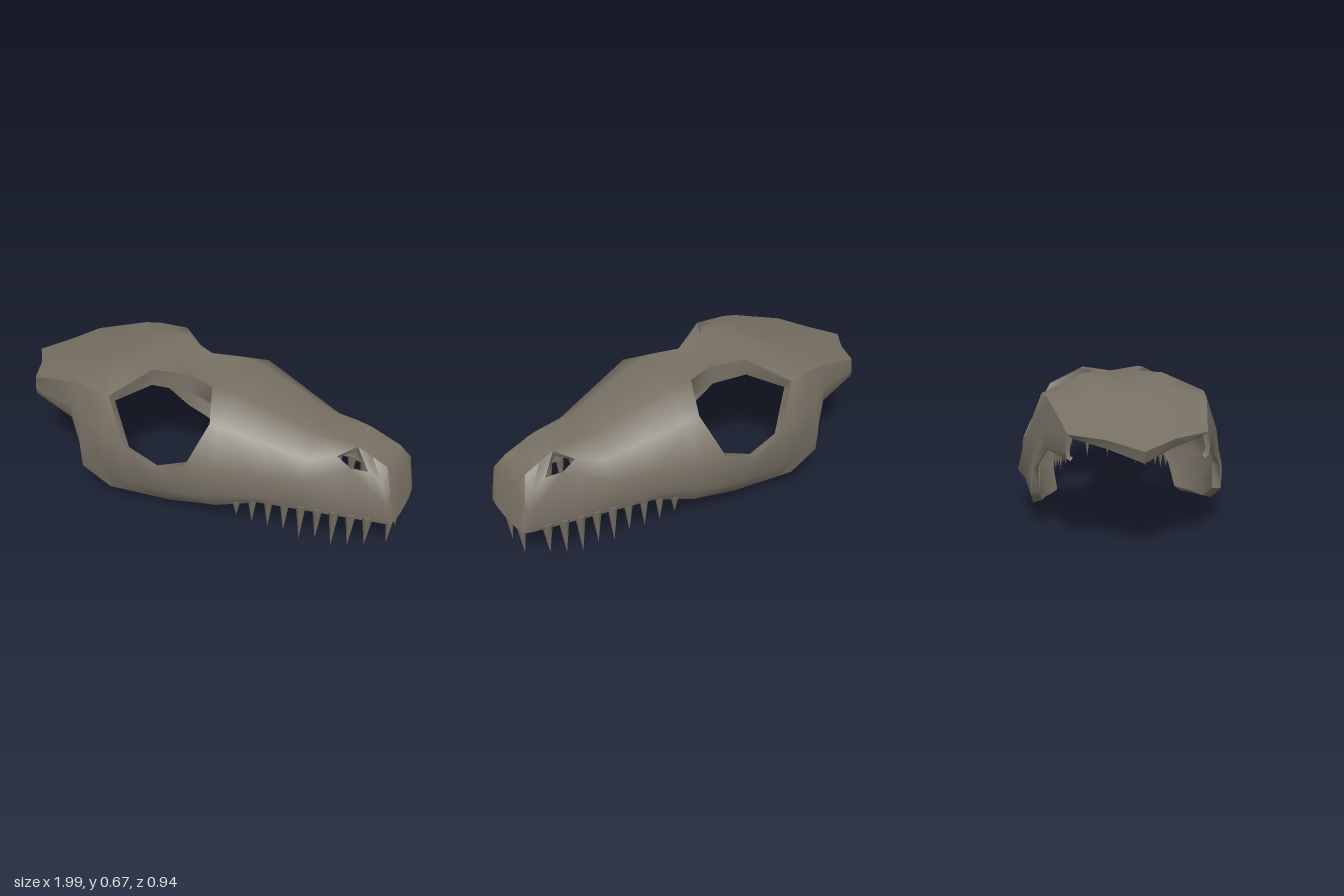
import * as THREE from 'three';
import { toCreasedNormals } from 'three/addons/utils/BufferGeometryUtils.js';

const bone = new THREE.MeshStandardMaterial({ color: 0x766f63, side: THREE.DoubleSide });

// Rails [x, y, z] from the back of the skull to the snout
const ridge = [[-.89, .48, .135], [-.33, .665, .17], [-.21, .65, .17], [-.05, .638, .11], [.09, .637, .15],
  [.2, .63, .14], [.58, .515, .1], [.75, .51, .085], [.91, .445, .09], [.95, .385, .09]];
const brow = [[-.82, .49, .275], [-.52, .58, .335], [-.33, .58, .36], [.16, .555, .305],
  [.58, .44, .2], [.7, .465, .145], [.84, .425, .135], [.95, .36, .145]];
const cheek = [[-.82, .43, .285], [-.56, .46, .355], [-.33, .4, .425], [-.05, .32, .445],
  [.09, .37, .41], [.58, .35, .25], [.77, .435, .162], [.95, .3, .168]];
const jowl = [[-.82, .395, .28], [-.56, .385, .355], [-.485, .3, .41], [-.475, .25, .42], [-.2, .21, .473],
  [.09, .22, .435], [.58, .26, .26], [.95, .24, .17]];
const jawRim = [[-.82, .385, .265], [-.56, .375, .345], [-.485, .275, .405], [-.475, .165, .415], [-.33, .085, .405],
  [-.05, .045, .315], [.25, .135, .325], [.4, .19, .29], [.95, .195, .162]];
// The midline lies in a shallow groove between the two ridges
const crest = ridge.map(([x, y], i) => i ? [x, y - .022, 0] : [-1, .455, 0]);
const rails = [crest, ridge, brow, cheek, jowl, jawRim];

const stations = [-.56, -.485, -.475, -.33, -.21, -.05, .09, .16, .2, .4, .58, .7, .77, .84, .91, .95];

function sample(rail, x) {
  const k = rail.findIndex(p => p[0] >= x);
  const a = rail[k - 1], b = rail[k], t = (x - a[0]) / (b[0] - a[0]);
  return a.map((v, c) => v + (b[c] - v) * t);
}

// Eye sockets and nostrils: column range and row range; corners are cut diagonally
const openings = [];
for (const [from, to] of [[-.33, .16], [.7, .84]]) {
  const s0 = stations.indexOf(from) + 1, s1 = stations.indexOf(to) + 1;
  openings.push({ s0, s1, j0: 1, j1: 3 }, { s0, s1, j0: -3, j1: -1 });
}

function shellGeometry() {
  const R = rails.length - 1, W = 2 * R + 1, last = stations.length + 1;
  const outer = [], tris = [];
  for (let i = 0; i <= last; i++) for (let j = -R; j <= R; j++) {
    const rail = rails[Math.abs(j)], turn = Math.abs(j) / R * Math.PI / 2;
    // The snout closes on a blunt front lip
    const lip = [.97 + .022 * Math.cos(turn), .2, .157 * Math.sin(turn) ** .8];
    const p = i === 0 ? rail[0] : i === last ? lip : sample(rail, stations[i - 1]);
    outer.push(p[0], p[1], p[2] * Math.sign(j));
  }

  // Outer skin, leaving out the openings
  const id = (i, j) => i * W + j + R;
  for (let i = 0; i < last; i++) for (let j = -R; j < R; j++) {
    const q = [id(i, j), id(i, j + 1), id(i + 1, j + 1), id(i + 1, j)];
    const h = openings.find(o => i >= o.s0 && i < o.s1 && j >= o.j0 && j < o.j1);
    if (h) {
      const left = i === h.s0, right = i === h.s1 - 1, top = j === h.j0;
      if (!left && !right) continue;
      const k = left ? (top ? 0 : 1) : (top ? 3 : 2);
      tris.push([q[(k + 3) % 4], q[k], q[(k + 1) % 4]]);
    } else if (j >= 0) tris.push([q[0], q[1], q[2]], [q[0], q[2], q[3]]);
    else tris.push([q[1], q[2], q[3]], [q[1], q[3], q[0]]);
  }

  // Inner skin, pushed in along the normals, thickest under the roof
  const skin = new THREE.BufferGeometry();
  skin.setAttribute('position', new THREE.Float32BufferAttribute(outer, 3));
  skin.setIndex(tris.flat());
  skin.computeVertexNormals();
  const n = skin.attributes.normal, N = n.count, all = outer.slice();
  for (let v = 0; v < N; v++) {
    const x = outer[v * 3], row = Math.abs(v % W - R);
    const t = (.11 - .024 * Math.min(row, 3)) * (x > .6 ? .35 : x < -.5 ? .45 : 1);
    all.push(x - n.getX(v) * t, outer[v * 3 + 1] - n.getY(v) * t, outer[v * 3 + 2] - n.getZ(v) * t);
  }

  // Walls along every open edge
  const index = [], edges = new Set();
  for (const [a, b, c] of tris) {
    index.push(a, b, c, a + N, c + N, b + N);
    for (const [u, v] of [[a, b], [b, c], [c, a]]) edges.add(u * N + v);
  }
  for (const e of edges) {
    const u = Math.floor(e / N), v = e % N;
    if (!edges.has(v * N + u)) index.push(v, u, u + N, v, u + N, v + N);
  }
  const geo = new THREE.BufferGeometry();
  geo.setAttribute('position', new THREE.Float32BufferAttribute(all, 3));
  geo.setIndex(index);
  return toCreasedNormals(geo, 1);
}

export function createModel() {
  const model = new THREE.Group();
  model.name = 'reptileSkull';

  const skull = new THREE.Mesh(shellGeometry(), bone);
  skull.name = 'skullShell';
  model.add(skull);

  // Upper teeth, front to back: heights of the tips
  const teeth = new THREE.Group();
  teeth.name = 'upperTeeth';
  const tips = [0, .045, .02, 0, .03, .01, .045, .05, .06, .085];
  tips.forEach((tip, k) => {
    const x = .946 - k * .072;
    const [, y, z] = sample(jawRim, x);
    const height = y + .022 - tip;
    const geo = new THREE.ConeGeometry(k ? .027 - .0006 * k : .029, height, 8);
    geo.rotateX(Math.PI);
    for (const side of [1, -1]) {
      const tooth = new THREE.Mesh(geo, bone);
      tooth.name = 'tooth';
      tooth.position.set(x, tip + height / 2, side * (k ? z - .01 : .06));
      teeth.add(tooth);
    }
  });
  model.add(teeth);
  return model;
}
